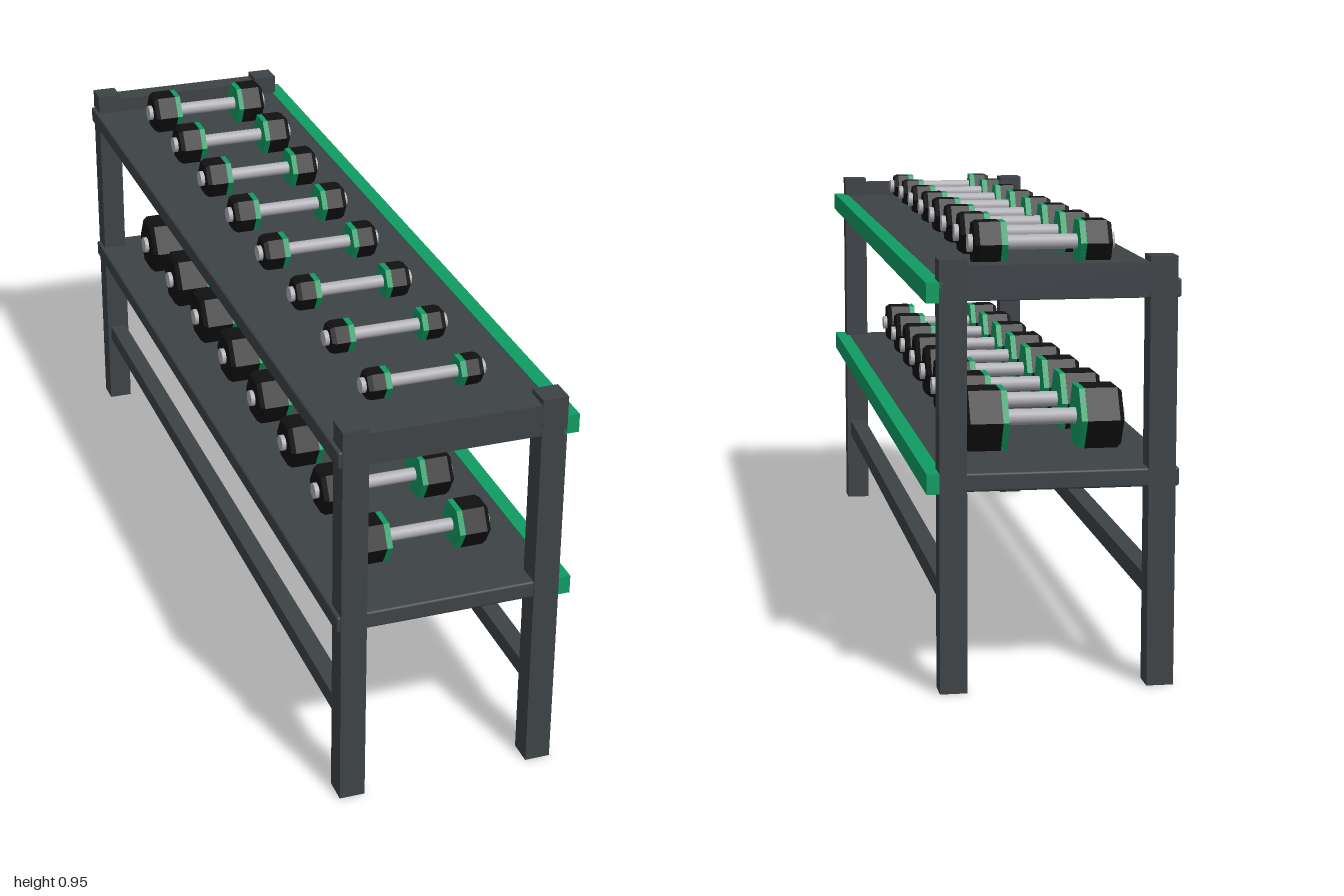
import * as THREE from 'three';
import { RoundedBoxGeometry } from 'three/addons/geometries/RoundedBoxGeometry.js';

const material = (name, color, extra = {}) => {
  const m = new THREE.MeshStandardMaterial({ color, ...extra });
  m.name = name;
  return m;
};

export function createModel() {
  const frameGrey = material('frame grey', 0x3d4246);
  const green = material('accent green', 0x0f9b63);
  const rubber = material('black rubber', 0x111112);
  const steel = material('brushed steel', 0xafafb5);

  const model = new THREE.Group();
  model.name = 'dumbbellRack';

  // Box given by its limits on each axis
  const box = (name, mat, [x0, x1], [y0, y1], [z0, z1], round = 0) => {
    const size = [x1 - x0, y1 - y0, z1 - z0];
    const geo = round ? new RoundedBoxGeometry(...size, 2, round) : new THREE.BoxGeometry(...size);
    const mesh = new THREE.Mesh(geo, mat);
    mesh.name = name;
    mesh.position.set((x0 + x1) / 2, (y0 + y1) / 2, (z0 + z1) / 2);
    model.add(mesh);
  };

  // Posts and low stretchers on both long sides
  for (const x of [-0.227, 0.207]) {
    for (const z of [-0.9715, 0.9715]) {
      box('post', frameGrey, [x - 0.0285, x + 0.0285], [0, 0.9], [z - 0.0285, z + 0.0285]);
    }
    box('stretcher', frameGrey, [x - 0.02, x + 0.02], [0.18, 0.22], [-0.945, 0.945]);
  }

  // Top crossbars at the two ends
  for (const z of [-0.9715, 0.9715]) {
    box('topCrossbar', frameGrey, [-0.2, 0.18], [0.817, 0.888], [z - 0.0275, z + 0.0275]);
  }

  // Shelves with a green rail along one edge
  for (const top of [0.462, 0.854]) {
    box('shelf', frameGrey, [-0.264, 0.23], [top - 0.039, top], [-0.997, 0.997], 0.005);
    box('shelfRail', green, [0.228, 0.262], [top - 0.041, top + 0.001], [-1, 1]);
  }

  // Hexagonal prism along x with flats above and below; rOut is the radius at +x
  const hex = (rOut, rIn, length) => {
    const geo = new THREE.CylinderGeometry(rOut, rIn, length, 6).toNonIndexed();
    geo.rotateZ(-Math.PI / 2);
    geo.computeVertexNormals();
    return geo;
  };

  // One dumbbell: R is the hexagon radius, headLength the length of each head
  const dumbbell = (R, headLength, barRadius) => {
    const group = new THREE.Group();
    group.name = 'dumbbell';
    const add = (parent, name, geo, mat, x) => {
      const mesh = new THREE.Mesh(geo, mat);
      mesh.name = name;
      mesh.position.x = x;
      parent.add(mesh);
    };
    const rod = (r, length) => new THREE.CylinderGeometry(r, r, length, 24).rotateZ(-Math.PI / 2);
    add(group, 'handle', rod(barRadius, 0.19), steel, 0);

    const bevel = 0.01;
    for (const turn of [0, Math.PI]) {
      const end = new THREE.Group();
      end.name = 'weightEnd';
      end.rotation.y = turn;
      add(end, 'collar', hex(R * 0.99, R * 0.99, 0.013), green, 0.0835);
      add(end, 'head', hex(R, R, headLength - bevel), rubber, 0.09 + (headLength - bevel) / 2);
      add(end, 'headBevel', hex(R * 0.88, R, bevel), rubber, 0.09 + headLength - bevel / 2);
      add(end, 'barEnd', rod(barRadius + 0.003, 0.02), steel, 0.09 + headLength);
      group.add(end);
    }
    return group;
  };

  // Two rows of eight, growing in size towards the back
  const rows = [
    { base: 0.47, radius: [0.054, 0.075], length: [0.06, 0.08], bar: [0.0145, 0.0175] },
    { base: 0.862, radius: [0.034, 0.0535], length: [0.038, 0.056], bar: [0.0135, 0.016] },
  ];
  for (const row of rows) {
    for (let i = 0; i < 8; i++) {
      const at = ([a, b]) => a + ((b - a) * i) / 7;
      const R = at(row.radius);
      const item = dumbbell(R, at(row.length), at(row.bar));
      item.position.set(-0.011, row.base + R * Math.cos(Math.PI / 6), 0.803 - 0.225 * i);
      model.add(item);
    }
  }
  return model;
}
